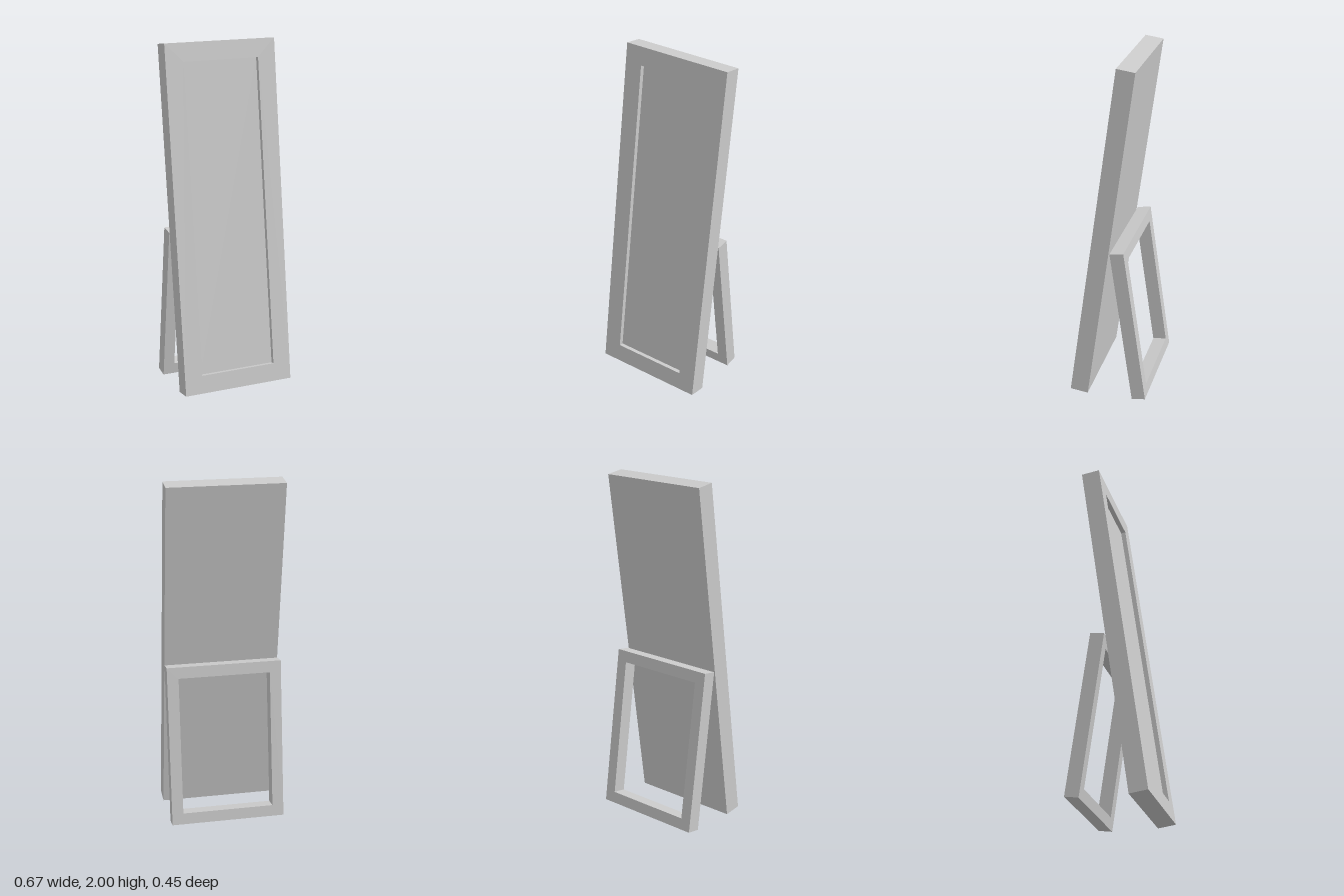
import * as THREE from 'three';

const material = new THREE.MeshStandardMaterial({ color: 0xcccccc });
const WIDTH = 0.666;
const TILT = 0.14;

function rectangle(path, w, h) {
  path.moveTo(-w / 2, -h / 2);
  path.lineTo(w / 2, -h / 2);
  path.lineTo(w / 2, h / 2);
  path.lineTo(-w / 2, h / 2);
  path.closePath();
  return path;
}

// Rectangular frame with an opening, centred on its own origin
function frame(name, w, h, depth, border) {
  const shape = rectangle(new THREE.Shape(), w, h);
  shape.holes.push(rectangle(new THREE.Path(), w - 2 * border, h - 2 * border));
  const geometry = new THREE.ExtrudeGeometry(shape, { depth, bevelEnabled: false });
  geometry.translate(0, 0, -depth / 2);
  const mesh = new THREE.Mesh(geometry, material);
  mesh.name = name;
  return mesh;
}

export function createModel() {
  const model = new THREE.Group();
  model.name = 'standingMirror';

  // Mirror leaning back: outer frame with a panel recessed from its front
  const height = 2.005, depth = 0.105, border = 0.106, recess = 0.027;
  const mirror = new THREE.Group();
  mirror.name = 'mirror';
  mirror.add(frame('mirrorFrame', WIDTH, height, depth, border));
  const panel = new THREE.Mesh(
    new THREE.BoxGeometry(WIDTH - 2 * border, height - 2 * border, depth - recess),
    material
  );
  panel.name = 'mirrorPanel';
  panel.position.z = -recess / 2;
  mirror.add(panel);
  mirror.position.set(0, 1, 0.033);
  mirror.rotation.x = -TILT;
  model.add(mirror);

  // Open support frame leaning forward against the back
  const stand = frame('rearStand', WIDTH, 0.938, 0.08, 0.066);
  stand.position.set(0, 0.47, -0.121);
  stand.rotation.x = TILT;
  model.add(stand);

  return model;
}
